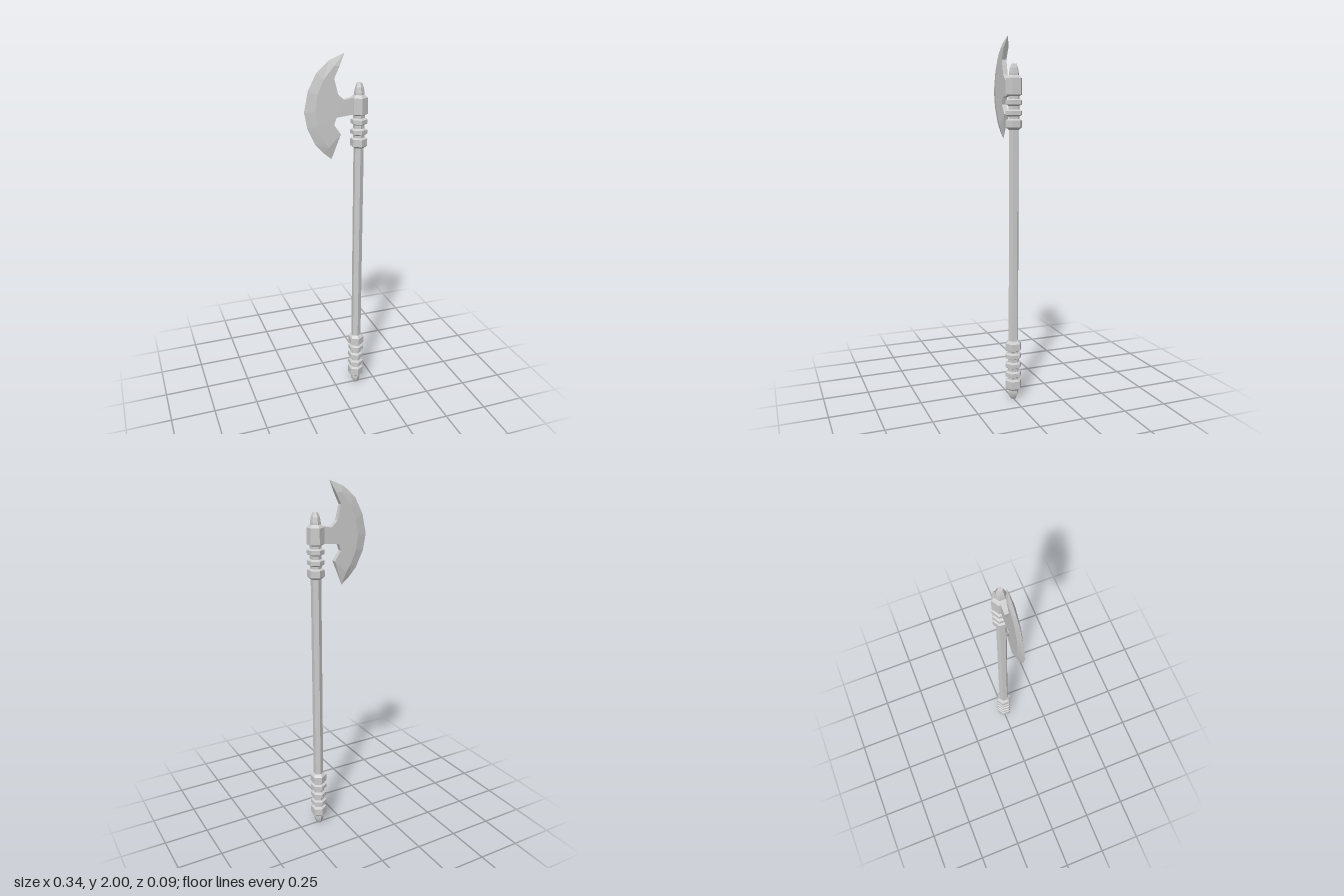
import * as THREE from 'three';

const material = new THREE.MeshStandardMaterial({ color: 0xcccccc, flatShading: true });
const SIDES = 6, SHAFT_X = 0.13, RING_R = 0.046, NECK_R = 0.029, BEVEL = 0.008;
const HALF = 0.0135; // half thickness of the blade

export function createModel() {
  const group = new THREE.Group();
  group.name = 'battleAxe';

  const add = (name, geometry) => {
    const mesh = new THREE.Mesh(geometry, material);
    mesh.name = name;
    group.add(mesh);
    return mesh;
  };

  // Closed six-sided turned piece, profile given as [radius, y] from bottom to top
  const turned = (name, profile) => {
    const pts = [[0, profile[0][1]], ...profile, [0, profile.at(-1)[1]]];
    const geometry = new THREE.LatheGeometry(pts.map(([r, y]) => new THREE.Vector2(r, y)), SIDES);
    add(name, geometry).position.x = SHAFT_X;
  };

  // Chamfered ring between two heights
  const ring = (name, y0, y1, b0 = BEVEL, b1 = BEVEL) => turned(name, [
    [NECK_R, y0], [RING_R, y0 + b0], [RING_R, y1 - b1], [NECK_R, y1],
  ]);

  // Shaft with pommel and top cap
  turned('shaft', [[0.028, 0.3], [0.028, 1.53]]);
  turned('pommel', [[0.014, 0], [0.024, 0.02], [0.028, 0.036], [0.028, 0.08]]);
  turned('topCap', [[0.028, 1.76], [0.028, 1.795], [0.023, 1.823], [0.014, 1.845]]);

  // Lower grip: core and stacked rings
  turned('gripCore', [[NECK_R + 0.002, 0.08], [NECK_R + 0.002, 0.32]]);
  ring('gripBottomCollar', 0.056, 0.12, 0.012);
  for (let i = 0; i < 3; i++) ring('gripRing', 0.129 + i * 0.053, 0.167 + i * 0.053);
  ring('gripTopCollar', 0.28, 0.342, BEVEL, 0.014);

  // Axe head socket: core, rings and the tall block holding the blade
  turned('headCore', [[NECK_R + 0.002, 1.52], [NECK_R + 0.002, 1.75]]);
  ring('headBottomCollar', 1.502, 1.56, 0.012);
  for (let i = 0; i < 2; i++) ring('headRing', 1.571 + i * 0.055, 1.609 + i * 0.055);
  ring('headSocket', 1.677, 1.785, BEVEL, 0.015);

  // Neck joining blade and socket
  const neck = new THREE.Shape([
    [0.008, 1.796], [0, 1.675], [0.1, 1.685], [0.1, 1.775], [0.042, 1.763],
  ].map(([x, y]) => new THREE.Vector2(x, y)));
  add('bladeNeck', new THREE.ExtrudeGeometry(neck, { depth: HALF * 2, bevelEnabled: false })
    .translate(0, 0, -HALF));

  add('blade', bladeGeometry());
  return group;
}

// Blade lofted from upper to lower tip: each row holds cutting edge, bevel ridge and inner edge
function bladeGeometry() {
  const tip = (x, y) => [[x, y], [x, y], [x, y]];
  const rows = [
    tip(0.047, 2),
    [[-0.035, 1.966], [-0.014, 1.937], [0.016, 1.937]],
    [[-0.103, 1.908], [-0.07, 1.872], [-0.013, 1.876]],
    [[-0.15, 1.818], [-0.102, 1.8], [0.008, 1.796]],
    [[-0.172, 1.712], [-0.115, 1.712], [0.004, 1.735]],
    [[-0.156, 1.627], [-0.105, 1.635], [0, 1.675]],
    [[-0.113, 1.537], [-0.075, 1.565], [-0.013, 1.638]],
    [[-0.07, 1.49], [-0.045, 1.518], [0.024, 1.585]],
    tip(-0.024, 1.452),
  ];
  const positions = [], index = [], n = 5;
  rows.forEach(([edge, ridge, inner], i) => {
    const t = i === 0 || i === rows.length - 1 ? 0 : HALF;
    positions.push(...edge, 0, ...ridge, t, ...inner, t, ...inner, -t, ...ridge, -t);
    if (i === rows.length - 1) return;
    for (let j = 0; j < n; j++) {
      const a = i * n + j, d = i * n + (j + 1) % n, b = a + n, c = d + n;
      if (i < rows.length - 2) index.push(a, b, c, ...(i > 0 ? [a, c, d] : []));
      else index.push(a, b, d);
    }
  });
  const geometry = new THREE.BufferGeometry();
  geometry.setAttribute('position', new THREE.Float32BufferAttribute(positions, 3));
  geometry.setIndex(index);
  const flat = geometry.toNonIndexed();
  flat.computeVertexNormals();
  return flat;
}
